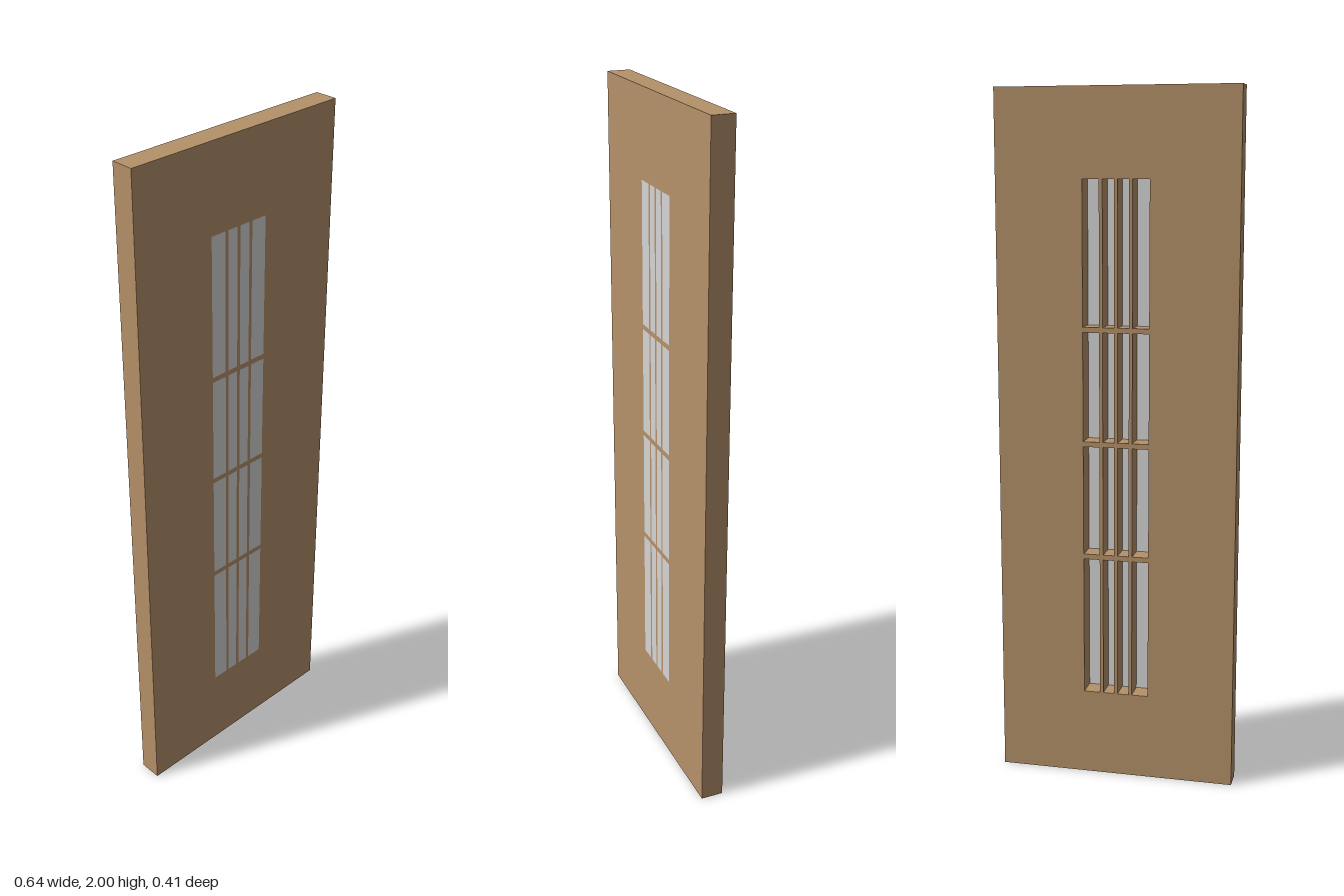
import * as THREE from 'three';

const WIDTH = 0.696, HEIGHT = 2, DEPTH = 0.066;
const GLASS = 0.003;

// Splits a span into four openings separated by three bars
function openings(start, end, bars, barWidth) {
  const h = barWidth / 2;
  const lows = [start, ...bars.map((b) => b + h)];
  const highs = [...bars.map((b) => b - h), end];
  return lows.map((low, i) => [low, highs[i]]);
}

function rectangle(path, x0, y0, x1, y1) {
  path.moveTo(x0, y0);
  path.lineTo(x1, y0);
  path.lineTo(x1, y1);
  path.lineTo(x0, y1);
  path.closePath();
  return path;
}

export function createModel() {
  const wood = new THREE.MeshStandardMaterial({ name: 'wood', color: 0xb5916a });
  const glass = new THREE.MeshStandardMaterial({ name: 'glass', color: 0xd5d5d5 });

  const door = new THREE.Group();
  door.name = 'door';

  const columns = openings(-0.096, 0.096, [-0.043, 0, 0.043], 0.01);
  const rows = openings(0.253, 1.75, [0.669, 1.003, 1.332], 0.015);

  // Door slab, pierced by a grid of openings that leaves the glazing bars
  const outline = rectangle(new THREE.Shape(), -WIDTH / 2, 0, WIDTH / 2, HEIGHT);
  const panes = new THREE.Group();
  panes.name = 'windowPanes';
  for (const [x0, x1] of columns) {
    for (const [y0, y1] of rows) {
      outline.holes.push(rectangle(new THREE.Path(), x0, y0, x1, y1));

      // Thin pane flush with the front face
      const pane = new THREE.Mesh(new THREE.BoxGeometry(x1 - x0, y1 - y0, GLASS), glass);
      pane.name = 'windowPane';
      pane.position.set((x0 + x1) / 2, (y0 + y1) / 2, (DEPTH - GLASS) / 2);
      panes.add(pane);
    }
  }
  const slabGeometry = new THREE.ExtrudeGeometry(outline, { depth: DEPTH, bevelEnabled: false });
  slabGeometry.translate(0, 0, -DEPTH / 2);
  const slab = new THREE.Mesh(slabGeometry, wood);
  slab.name = 'doorSlab';

  door.add(slab, panes);
  // The door stands turned on its vertical axis
  door.rotation.y = Math.PI / 6;

  const model = new THREE.Group();
  model.name = 'turnedDoor';
  model.add(door);
  return model;
}
